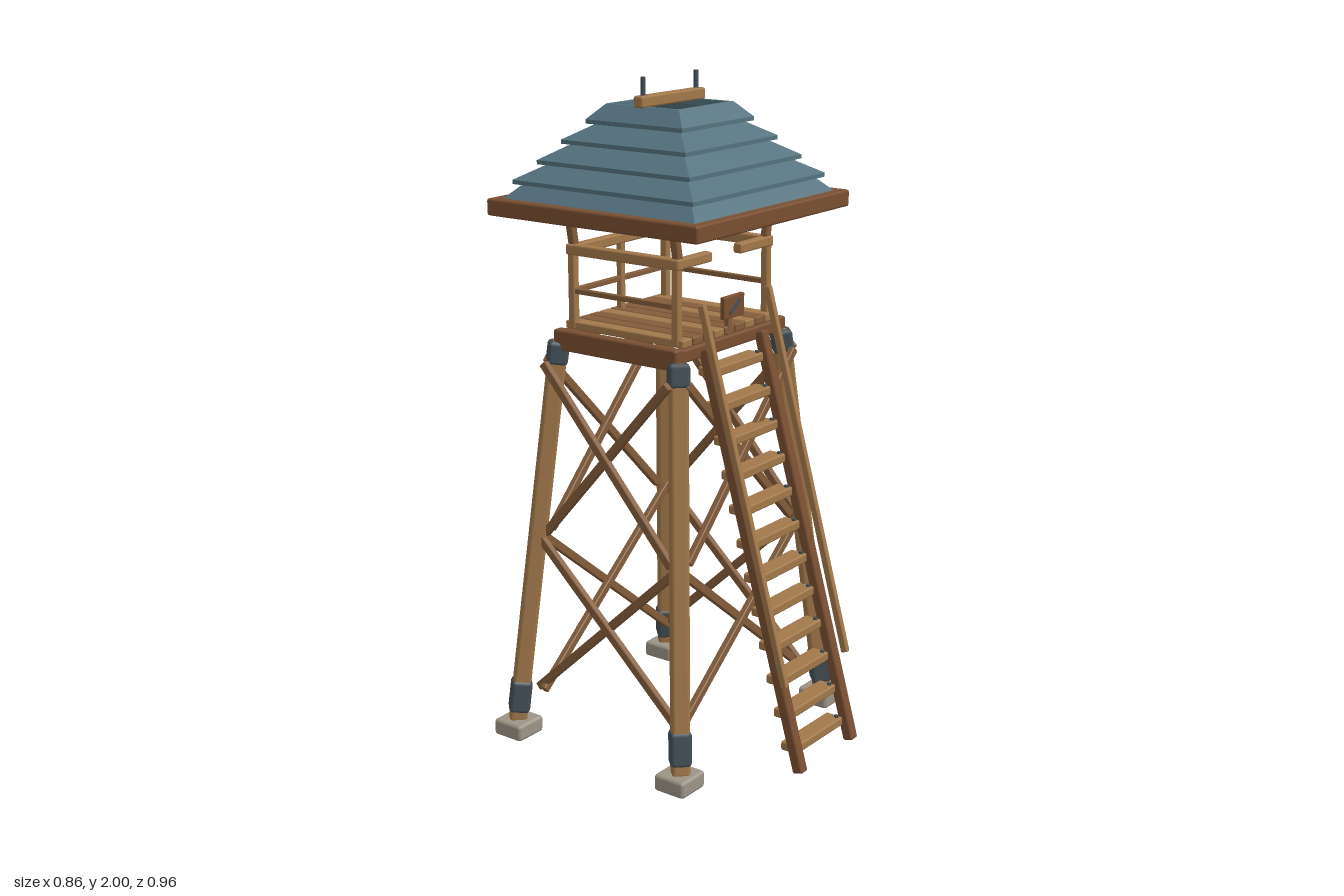
import * as THREE from 'three';
import { RoundedBoxGeometry } from 'three/addons/geometries/RoundedBoxGeometry.js';

const mat = (name, color) => {
  const m = new THREE.MeshStandardMaterial({ color });
  m.name = name;
  return m;
};

export function createModel() {
  const lightWood = mat('light wood', 0xa2784a);
  const midWood = mat('mid wood', 0x835c3a);
  const redWood = mat('red brown wood', 0x794e31);
  const metal = mat('dark metal', 0x434f57);
  const stone = mat('stone', 0x9c9486);
  const slate = mat('blue slate', 0x55737f);

  const root = new THREE.Group();
  root.name = 'watchtower';
  const tower = new THREE.Group();
  tower.name = 'tower';
  tower.position.z = -0.106;
  const ladder = new THREE.Group();
  ladder.name = 'ladder';
  root.add(tower, ladder);

  const V = (x, y, z) => new THREE.Vector3(x, y, z);
  const UP = V(0, 1, 0);

  const add = (parent, name, geo, material, x = 0, y = 0, z = 0) => {
    const m = new THREE.Mesh(geo, material);
    m.name = name;
    m.position.set(x, y, z);
    parent.add(m);
    return m;
  };
  // Box with a small chamfer
  const block = (parent, name, w, h, d, material, x, y, z) =>
    add(parent, name, new RoundedBoxGeometry(w, h, d, 1, Math.min(w, h, d) * 0.2), material, x, y, z);
  // Chamfered timber between two points
  const beam = (parent, name, a, b, w, d, material, roll = 0) => {
    const dir = b.clone().sub(a);
    const c = a.clone().add(b).multiplyScalar(0.5);
    const m = block(parent, name, w, dir.length(), d, material, c.x, c.y, c.z);
    m.quaternion.setFromUnitVectors(UP, dir.normalize());
    m.rotateY(roll);
    return m;
  };

  // Legs, iron collars and footing stones
  const legAt = (sx, sz, y) => {
    const t = (y - 0.05) / 1.17;
    return V(sx * (0.375 - 0.12 * t), y, sz * (0.313 - 0.093 * t));
  };
  for (const sx of [-1, 1]) for (const sz of [-1, 1]) {
    const p = (y) => legAt(sx, sz, y);
    const q = Math.PI / 4;
    beam(tower, 'leg', p(0.045), p(1.235), 0.054, 0.054, lightWood, q);
    beam(tower, 'lowerCollar', p(0.075), p(0.18), 0.064, 0.064, metal, q);
    beam(tower, 'upperCollar', p(1.165), p(1.235), 0.062, 0.062, metal, q);
    block(tower, 'footing', 0.11, 0.052, 0.106, stone, sx * 0.375, 0.028, sz * 0.31);
  }

  // Two stacked cross braces on each side
  const levels = [0.14, 0.65, 1.18];
  for (const s of [-1, 1]) for (const k of [-1, 1]) for (let i = 0; i < 2; i++) {
    const [y0, y1] = [levels[i], levels[i + 1]];
    const a = legAt(1, 1, y0), b = legAt(1, 1, y1);
    const off = k * 0.006;
    beam(tower, 'sideBrace', V(s * 0.312 + off, y0, -k * (a.z - 0.025)), V(s * 0.312 + off, y1, k * b.z), 0.02, 0.026, midWood);
    beam(tower, 'crossBrace', V(-k * (a.x - 0.045), y0, s * 0.257 + off), V(k * b.x, y1, s * 0.257 + off), 0.026, 0.02, midWood);
  }

  // Platform frame and deck
  for (const s of [-1, 1]) {
    block(tower, 'sideJoist', 0.036, 0.062, 0.45, redWood, s * 0.255, 1.242, 0);
    block(tower, 'endJoist', 0.53, 0.04, 0.036, redWood, 0, 1.247, s * 0.205);
  }
  block(tower, 'middleJoist', 0.5, 0.03, 0.036, redWood, 0, 1.247, 0);
  for (let i = -4; i <= 4; i++) {
    const light = [-4, -1, 2, 4].includes(i);
    block(tower, 'deckPlank', 0.046, 0.024, 0.43, light ? lightWood : midWood, i * 0.051, 1.28, 0);
  }

  // Railing posts and roof struts
  const px = 0.219, pz = 0.188, railY = 1.505, midY = 1.383;
  for (const sx of [-1, 1]) for (const sz of [-1, 1]) {
    beam(tower, 'railPost', V(sx * px, 1.27, sz * pz), V(sx * px, 1.51, sz * pz), 0.024, 0.024, lightWood);
    beam(tower, 'roofStrut', V(sx * 0.21, 1.49, sz * pz), V(sx * 0.237, 1.64, sz * pz), 0.024, 0.024, midWood);
  }
  beam(tower, 'backMiddlePost', V(0, 1.28, -pz), V(0, 1.5, -pz), 0.02, 0.02, lightWood);
  // Handrails, with an opening at the front for the ladder
  for (const s of [-1, 1]) {
    beam(tower, 'sideTopRail', V(s * px, railY, -0.205), V(s * px, railY, 0.205), 0.03, 0.032, lightWood);
    beam(tower, 'sideMidRail', V(s * px, midY, -0.19), V(s * px, midY, 0.19), 0.016, 0.016, midWood);
    beam(tower, 'frontTopRail', V(s * 0.235, railY, pz), V(s * 0.07, railY, pz), 0.03, 0.03, lightWood);
  }
  beam(tower, 'backTopRail', V(-0.235, railY, -pz), V(0.235, railY, -pz), 0.03, 0.03, lightWood);
  beam(tower, 'backMidRail', V(-0.22, midY, -pz), V(0.22, midY, -pz), 0.016, 0.016, midWood);

  // Small sign at the front edge
  beam(tower, 'signStake', V(0, 1.26, 0.208), V(0, 1.36, 0.208), 0.02, 0.016, midWood);
  block(tower, 'signBoard', 0.1, 0.066, 0.016, redWood, 0, 1.352, 0.222);
  const mark = add(tower, 'signMark', new THREE.BoxGeometry(0.06, 0.009, 0.005), metal, 0, 1.352, 0.232);
  mark.rotation.z = 0.6;

  // Eaves frame
  for (const s of [-1, 1]) {
    block(tower, 'frontEave', 0.752, 0.05, 0.036, redWood, 0, 1.63, s * 0.358);
    block(tower, 'sideEave', 0.036, 0.05, 0.752, redWood, s * 0.358, 1.63, 0);
  }

  // Stepped square roof, hollow and open at the top
  const profile = [[0.345, 1.65]];
  const tiers = [[0.322, 1.7], [0.272, 1.755], [0.222, 1.812], [0.172, 1.868]];
  for (const [half, y] of tiers)
    profile.push([half - 0.022, y - 0.006], [half, y - 0.006], [half, y + 0.006]);
  profile.push([0.13, 1.918], [0.118, 1.918], [0.118, 1.9], [0.33, 1.645], [0.345, 1.65]);
  const roofGeo = new THREE.LatheGeometry(
    profile.map(([h, y]) => new THREE.Vector2(h * Math.SQRT2, y)), 4, Math.PI / 4).toNonIndexed();
  roofGeo.computeVertexNormals();
  add(tower, 'roof', roofGeo, slate);

  // Ridge pole and iron spikes
  beam(tower, 'ridgePole', V(-0.15, 1.932, 0), V(0.15, 1.932, 0), 0.034, 0.034, lightWood);
  for (const s of [-1, 1])
    add(tower, 'spike', new THREE.CylinderGeometry(0.007, 0.007, 0.085, 8), metal, s * 0.124, 1.9575, 0);

  // Ladder stringers and handrails
  for (const s of [-1, 1]) {
    beam(ladder, 'stringer', V(s * 0.137, 0.035, 0.465), V(s * 0.137, 1.255, 0.122), 0.034, 0.034, redWood);
    beam(ladder, 'ladderHandrail', V(s * 0.162, 0.3, 0.424), V(s * 0.162, 1.385, 0.127), 0.018, 0.022, lightWood);
  }
  // Treads with bolt heads
  for (let i = 0; i < 12; i++) {
    const y = 0.093 + i * 0.0988, z = 0.415 - i * 0.0274;
    block(ladder, 'tread', 0.25, 0.028, 0.058, lightWood, 0, y, z);
    for (const s of [-1, 1])
      add(ladder, 'bolt', new THREE.CylinderGeometry(0.007, 0.007, 0.008, 8), metal, s * 0.11, y + 0.016, z + 0.015);
  }
  return root;
}
